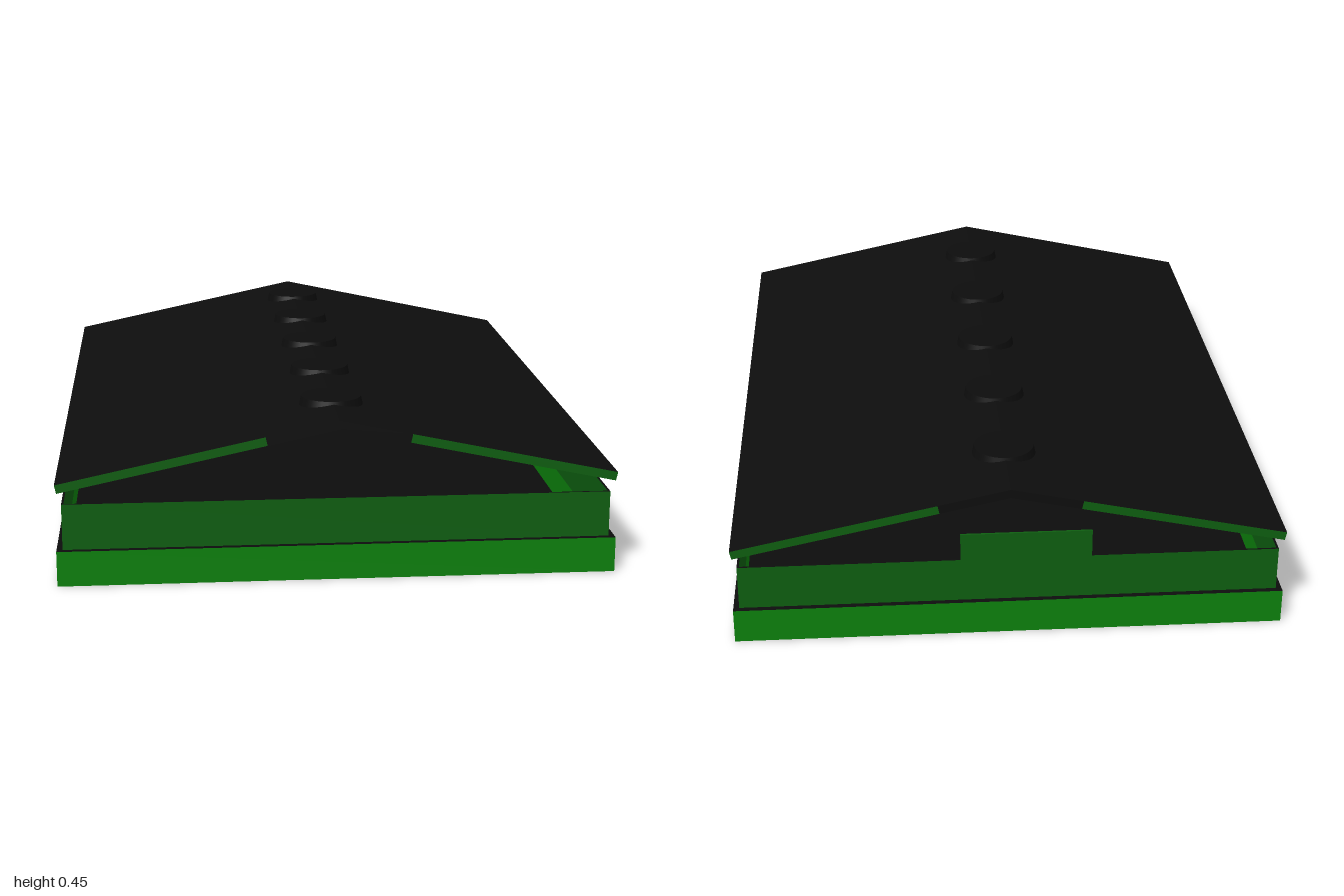
import * as THREE from 'three';

const mat = (name, color) => {
  const m = new THREE.MeshStandardMaterial({ color });
  m.name = name;
  return m;
};

export function createModel() {
  const model = new THREE.Group();
  const baseGreen = mat('base green', 0x0c800c);
  const wallGreen = mat('wall green', 0x0e5e10);
  const black = mat('roof black', 0x0d0d0d);

  const add = (parent, name, geometry, material, x = 0, y = 0, z = 0) => {
    const mesh = new THREE.Mesh(geometry, material);
    mesh.name = name;
    mesh.position.set(x, y, z);
    parent.add(mesh);
    return mesh;
  };

  // Rectangular ring of walls: black rims, coloured faces
  const wallRing = (name, hx, hz, thick, y0, y1, color) => {
    const rect = (C, a, b) => {
      const p = new C();
      p.moveTo(-a, -b);
      p.lineTo(a, -b);
      p.lineTo(a, b);
      p.lineTo(-a, b);
      p.closePath();
      return p;
    };
    const shape = rect(THREE.Shape, hx, hz);
    shape.holes.push(rect(THREE.Path, hx - thick, hz - thick));
    const geo = new THREE.ExtrudeGeometry(shape, { depth: y1 - y0, bevelEnabled: false });
    geo.rotateX(-Math.PI / 2);
    add(model, name, geo, [black, color], 0, y0, 0);
  };
  wallRing('baseWalls', 0.753, 1, 0.018, 0, 0.097, baseGreen);
  wallRing('upperWalls', 0.737, 0.984, 0.006, 0.095, 0.223, wallGreen);
  add(model, 'floor', new THREE.BoxGeometry(1.48, 0.004, 1.975), black, 0, 0.002, 0);

  // Raised panel on the back wall
  add(model, 'backPanel', new THREE.BoxGeometry(0.358, 0.08, 0.006), wallGreen, -0.044, 0.261, -0.981);

  // Two roof slopes; the gable edges turn black near the ridge
  const rise = 0.16, halfWidth = 0.753, thick = 0.024;
  const slope = Math.atan2(rise, halfWidth);
  const length = Math.hypot(rise, halfWidth);
  const inner = 0.2;
  ['roofLeft', 'roofRight'].forEach((name, i) => {
    const side = new THREE.Group();
    side.name = name;
    side.rotation.y = i * Math.PI;
    const slab = new THREE.Group();
    slab.position.y = 0.44;
    slab.rotation.z = -slope;
    side.add(slab);
    model.add(side);
    add(slab, 'ridgePanel', new THREE.BoxGeometry(inner, thick, 1.99), black, inner / 2, -thick / 2);
    add(slab, 'eavePanel', new THREE.BoxGeometry(length - inner, thick, 1.99),
      [wallGreen, black, black, black, wallGreen, wallGreen], (length + inner) / 2, -thick / 2);
  });

  // Round vents along the ridge
  for (let i = -2; i <= 2; i++) {
    add(model, 'ridgeVent', new THREE.CylinderGeometry(0.083, 0.09, 0.034, 32), black, 0, 0.43, i * 0.372);
  }
  return model;
}
